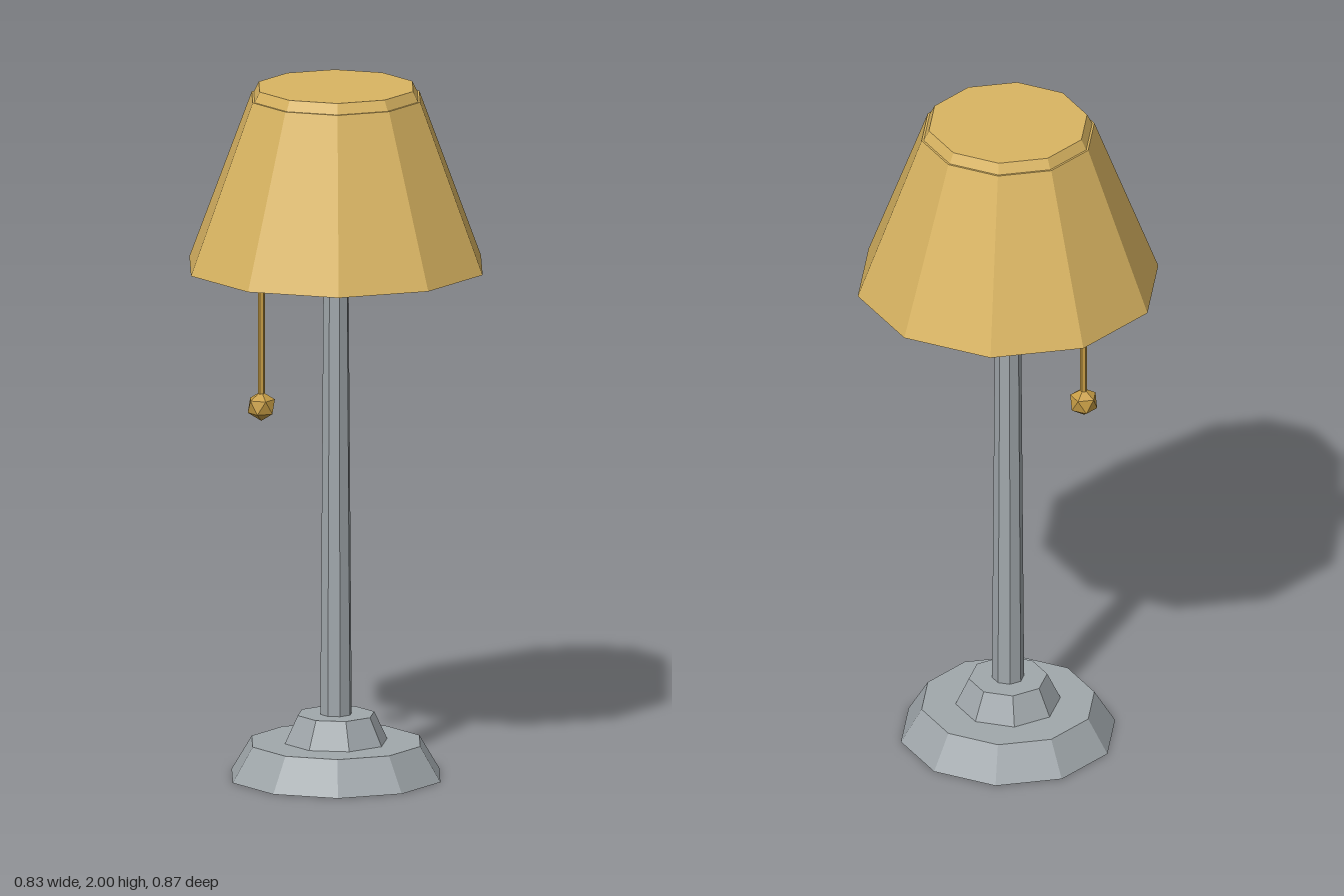
import * as THREE from 'three';

const material = (name, color) => {
  const m = new THREE.MeshStandardMaterial({ color, flatShading: true });
  m.name = name;
  return m;
};

export function createModel() {
  const lamp = new THREE.Group();
  lamp.name = 'tableLamp';
  const metal = material('grey metal', 0xa1a8ac);
  const fabric = material('golden shade', 0xdab562);
  const brass = material('brass', 0xc79d45);
  const glass = material('pale bulb', 0xdcc68c);

  const add = (name, geometry, mat, x, y, z) => {
    const mesh = new THREE.Mesh(geometry, mat);
    mesh.name = name;
    mesh.position.set(x, y, z);
    lamp.add(mesh);
  };
  // Faceted, tapered solid between two heights
  const taper = (name, mat, sides, rBottom, rTop, y0, y1, turn = 0, x = 0, z = 0) =>
    add(name, new THREE.CylinderGeometry(rTop, rBottom, y1 - y0, sides).rotateY(turn), mat, x, (y0 + y1) / 2, z);
  // Icosahedron standing on one corner
  const gem = (name, mat, r, x, y, z) =>
    add(name, new THREE.IcosahedronGeometry(r).rotateZ(Math.atan(2 / (1 + Math.sqrt(5)))), mat, x, y, z);

  // Stepped foot and stem
  taper('base', metal, 10, 0.31, 0.25, 0, 0.1);
  taper('baseCollar', metal, 8, 0.15, 0.112, 0.1, 0.18, Math.PI / 8);
  taper('stem', metal, 8, 0.046, 0.037, 0.18, 1.42, Math.PI / 8);

  // Bulb and shade
  gem('bulb', glass, 0.112, 0, 1.497, 0);
  taper('shade', fabric, 10, 0.435, 0.25, 1.48, 1.97);
  taper('shadeCap', fabric, 10, 0.244, 0.229, 1.97, 2);

  // Pull cord
  taper('pullCord', brass, 6, 0.01, 0.01, 1.1, 1.5, 0, -0.19, -0.1);
  gem('pullKnob', brass, 0.043, -0.19, 1.08, -0.1);

  return lamp;
}
